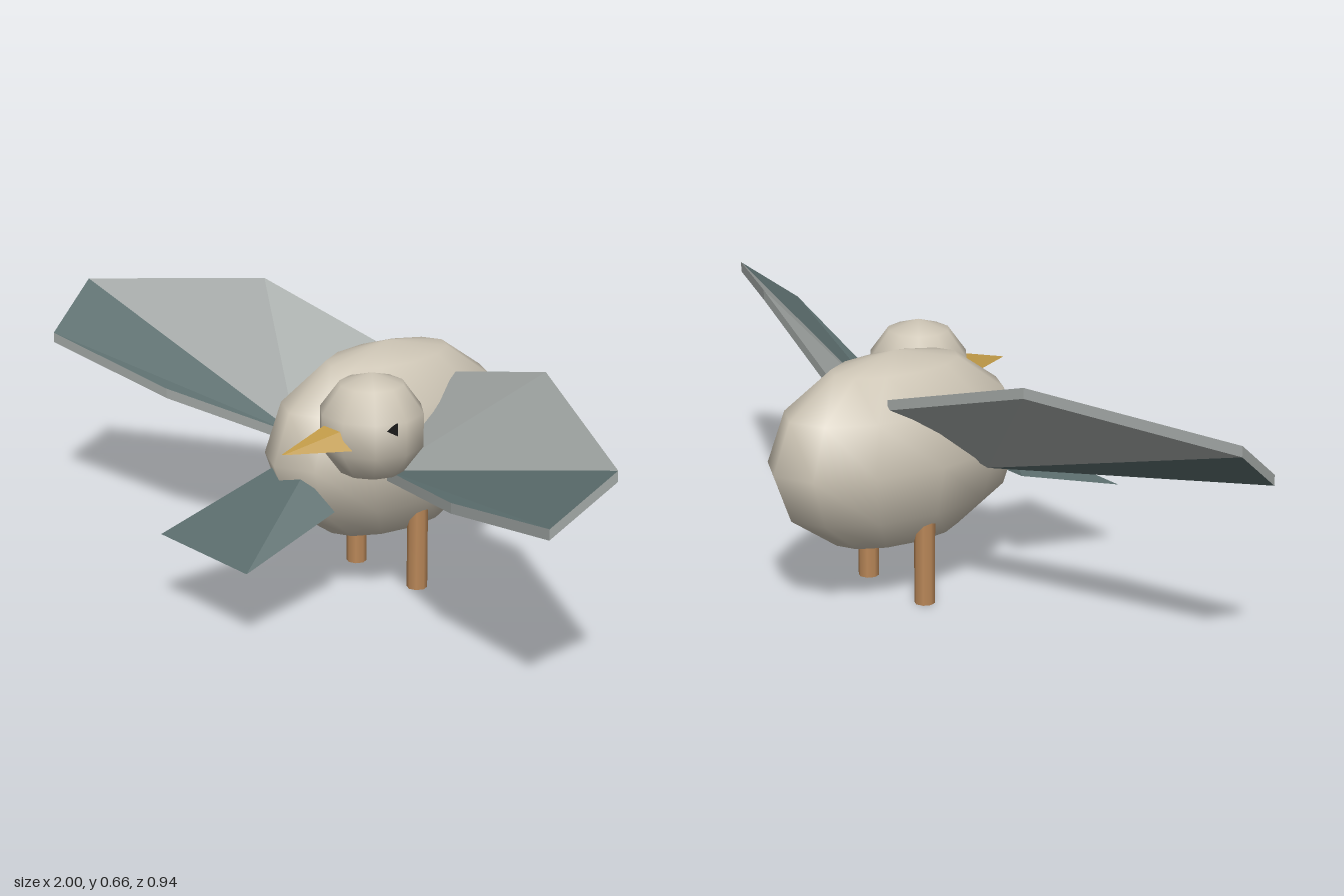
import * as THREE from 'three';

const paint = (name, color) => Object.assign(new THREE.MeshStandardMaterial({ color }), { name });

// Flat-faced geometry from a list of triangles of [x, y, z] corners
function facets(triangles) {
  const geo = new THREE.BufferGeometry();
  geo.setAttribute('position', new THREE.Float32BufferAttribute(triangles.flat(2), 3));
  geo.computeVertexNormals();
  return geo;
}

// Wedge with a trapezoid base (bottom and top edge) tapering to a front edge; edges are [halfWidth, y, z]
function wedge(bottom, top, tip) {
  const edge = ([w, y, z]) => [[-w, y, z], [w, y, z]];
  const [a, b] = edge(bottom), [d, c] = edge(top), [e, f] = edge(tip);
  return facets([
    [a, d, c], [a, c, b], // base
    [d, e, f], [d, f, c], // top
    [a, b, f], [a, f, e], // underside
    [b, c, f], [a, e, d], // sides
  ]);
}

// Thin folded wing; side is 1 for left, -1 for right
function wingGeometry(side) {
  const outline = [
    [0.125, 0.545, -0.225], // root, rear
    [0.53, 0.66, -0.14],    // elbow, rear
    [1.0, 0.6, 0.095],      // tip, rear
    [0.95, 0.488, 0.247],   // tip, front
    [0.55, 0.415, 0.17],    // elbow, front
    [0.175, 0.36, 0.04],    // root, front
  ];
  const top = outline.map(([x, y, z]) => [x * side, y, z]);
  const low = top.map(([x, y, z]) => [x, y - 0.026, z]);
  const main = [], band = [];
  for (let i = 0; i < 4; i++) {
    const list = i < 2 ? main : band;
    list.push([top[5], top[i + 1], top[i]], [low[5], low[i], low[i + 1]]);
  }
  for (let i = 0; i < 6; i++) {
    const j = (i + 1) % 6;
    main.push([top[i], top[j], low[j]], [top[i], low[j], low[i]]);
  }
  const all = [...main, ...band];
  if (side < 0) all.forEach((t) => t.reverse());
  const geo = facets(all);
  geo.addGroup(0, main.length * 3, 0);
  geo.addGroup(main.length * 3, band.length * 3, 1);
  return geo;
}

export function createModel() {
  const cream = paint('cream', 0xcdc5b5);
  const grey = paint('wing grey', 0xa3a8a6);
  const slate = paint('slate', 0x5b6d6d);
  const gold = paint('gold', 0xc39c48);
  const brown = paint('leg brown', 0xb98758);
  const black = paint('eye black', 0x1c1c1c);

  const model = new THREE.Group();
  model.name = 'bird';
  const add = (name, geo, material, x = 0, y = 0, z = 0) => {
    const mesh = new THREE.Mesh(geo, material);
    mesh.name = name;
    mesh.position.set(x, y, z);
    model.add(mesh);
    return mesh;
  };

  // Body and head
  add('body', new THREE.SphereGeometry(1, 12, 6), cream, 0, 0.37, -0.11).scale.set(0.195, 0.25, 0.36);
  add('head', new THREE.SphereGeometry(0.134, 10, 5), cream, 0.182, 0.488, 0.095);

  // Beak
  add('beak', wedge([0.062, -0.012, 0.195], [0.032, 0.034, 0.205], [0.003, 0, 0.365]), gold, 0.18, 0.475, 0);

  // Eye, a tiny three-sided plate on the side of the head
  add('eye', new THREE.CylinderGeometry(0.018, 0.018, 0.009, 3).rotateZ(Math.PI / 2), black, 0.302, 0.515, 0.128);

  // Tail fan
  add('tail', wedge([0.14, 0.275, 0.175], [0.05, 0.351, 0.2], [0.17, 0.199, 0.468]), slate);

  // Paired wings and legs
  for (const [label, side] of [['left', 1], ['right', -1]]) {
    add(`${label}Wing`, wingGeometry(side), [grey, slate]);
    add(`${label}Leg`, new THREE.CylinderGeometry(0.026, 0.026, 0.24, 8), brown, side * 0.118, 0.12, -0.11);
  }
  return model;
}
